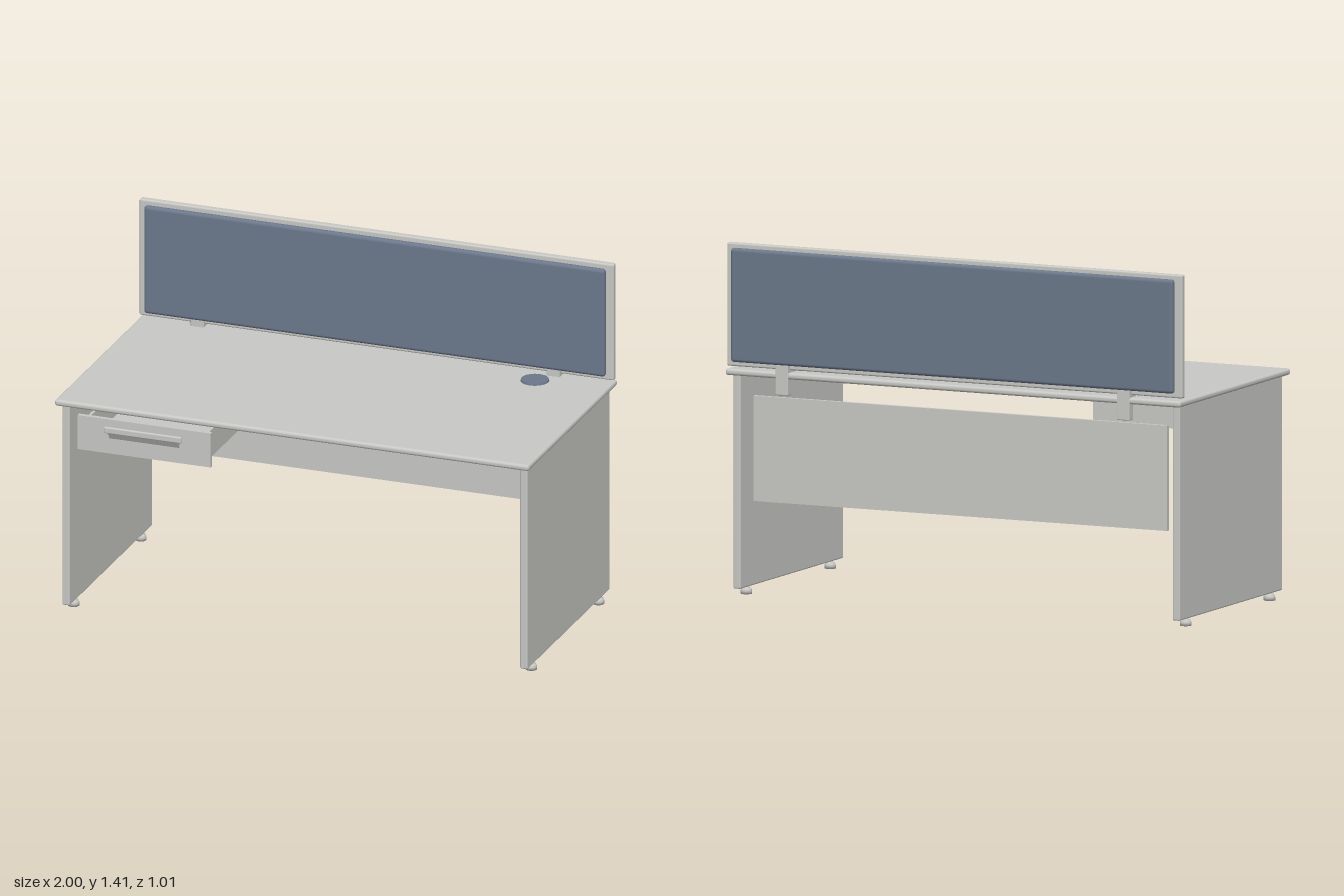
import * as THREE from 'three';
import { RoundedBoxGeometry } from 'three/addons/geometries/RoundedBoxGeometry.js';

export function createModel() {
  const model = new THREE.Group();
  model.name = 'desk';

  const laminate = new THREE.MeshStandardMaterial({ color: 0xc8c8c5 });
  laminate.name = 'light grey laminate';
  const fabric = new THREE.MeshStandardMaterial({ color: 0x6b788b });
  fabric.name = 'blue grey fabric';

  const add = (name, geometry, material, parent = model) => {
    const mesh = new THREE.Mesh(geometry, material);
    mesh.name = name;
    parent.add(mesh);
    return mesh;
  };
  // Box given by its ranges along x, y and z, with optional rounded edges
  const block = (name, [x0, x1], [y0, y1], [z0, z1], radius = 0, material = laminate, parent = model) => {
    const size = [x1 - x0, y1 - y0, z1 - z0];
    const geometry = radius
      ? new RoundedBoxGeometry(...size, 3, radius)
      : new THREE.BoxGeometry(...size);
    const mesh = add(name, geometry, material, parent);
    mesh.position.set((x0 + x1) / 2, (y0 + y1) / 2, (z0 + z1) / 2);
    return mesh;
  };

  // Worktop with soft edge banding
  block('worktop', [-1, 1], [0.885, 0.911], [-0.493, 0.502], 0.011);
  const grommet = add('cableGrommet', new THREE.CylinderGeometry(0.055, 0.057, 0.008, 32), fabric);
  grommet.position.set(0.7, 0.914, -0.362);

  // Side panels standing on domed feet
  const footProfile = [[0, 0], [0.023, 0], [0.023, 0.013], [0.019, 0.022], [0.012, 0.026], [0.012, 0.034]]
    .map(([r, y]) => new THREE.Vector2(r, y));
  const footGeometry = new THREE.LatheGeometry(footProfile, 20);
  for (const side of [-1, 1]) {
    const x = side * 0.965;
    block('sidePanel', [x - 0.016, x + 0.016], [0.03, 0.886], [-0.457, 0.465], 0.006);
    for (const z of [-0.371, 0.379]) {
      add('foot', footGeometry, laminate).position.set(x, 0, z);
    }
  }

  // Modesty panel and the open cable tray in front of it
  block('modestyPanel', [-0.91, 0.908], [0.38, 0.8], [-0.425, -0.408]);
  const tray = new THREE.Group();
  tray.name = 'cableTray';
  model.add(tray);
  block('trayFloor', [-0.688, 0.684], [0.67, 0.682], [-0.408, -0.3], 0.005, laminate, tray);
  block('trayFront', [-0.688, 0.684], [0.67, 0.76], [-0.312, -0.3], 0.005, laminate, tray);
  for (const x of [-0.688, 0.672]) {
    block('trayEnd', [x, x + 0.012], [0.67, 0.76], [-0.408, -0.3], 0.005, laminate, tray);
  }

  // Drawer: front, open box and lip handle
  const drawer = new THREE.Group();
  drawer.name = 'drawer';
  model.add(drawer);
  block('drawerFront', [-0.91, -0.35], [0.706, 0.85], [0.46, 0.478], 0, laminate, drawer);
  block('drawerFloor', [-0.885, -0.375], [0.72, 0.732], [0.0, 0.46], 0, laminate, drawer);
  for (const x of [-0.885, -0.387]) {
    block('drawerSide', [x, x + 0.012], [0.72, 0.835], [0.0, 0.46], 0, laminate, drawer);
  }
  block('drawerBack', [-0.885, -0.375], [0.72, 0.835], [0.0, 0.012], 0, laminate, drawer);
  block('handleGrip', [-0.79, -0.465], [0.8, 0.826], [0.493, 0.506], 0.005, laminate, drawer);

  // Slanted web joining the grip to the drawer front, profile in (-z, y)
  const web = new THREE.Shape([[-0.476, 0.772], [-0.482, 0.772], [-0.497, 0.798], [-0.497, 0.808],
    [-0.491, 0.806], [-0.476, 0.784]].map(([u, v]) => new THREE.Vector2(u, v)));
  const handleWeb = add('handleWeb',
    new THREE.ExtrudeGeometry(web, { depth: 0.295, bevelEnabled: false }), laminate, drawer);
  handleWeb.rotation.y = Math.PI / 2;
  handleWeb.position.x = -0.775;

  // Privacy screen: board with a padded panel on each face
  const screen = new THREE.Group();
  screen.name = 'privacyScreen';
  model.add(screen);
  block('screenBoard', [-1, 1], [0.92, 1.412], [-0.475, -0.446], 0.007, laminate, screen);
  for (const [name, z] of [['frontPad', [-0.446, -0.417]], ['backPad', [-0.504, -0.475]]]) {
    block(name, [-0.972, 0.972], [0.94, 1.395], z, 0.0135, fabric, screen);
  }

  // Clamps holding the screen to the back of the worktop
  for (const x of [-0.75, 0.75]) {
    const clamp = new THREE.Group();
    clamp.name = 'screenClamp';
    model.add(clamp);
    block('clampFoot', [x - 0.028, x + 0.028], [0.82, 0.925], [-0.495, -0.457], 0.004, laminate, clamp);
    block('clampHead', [x - 0.028, x + 0.028], [0.908, 0.943], [-0.495, -0.43], 0.004, laminate, clamp);
  }

  return model;
}
